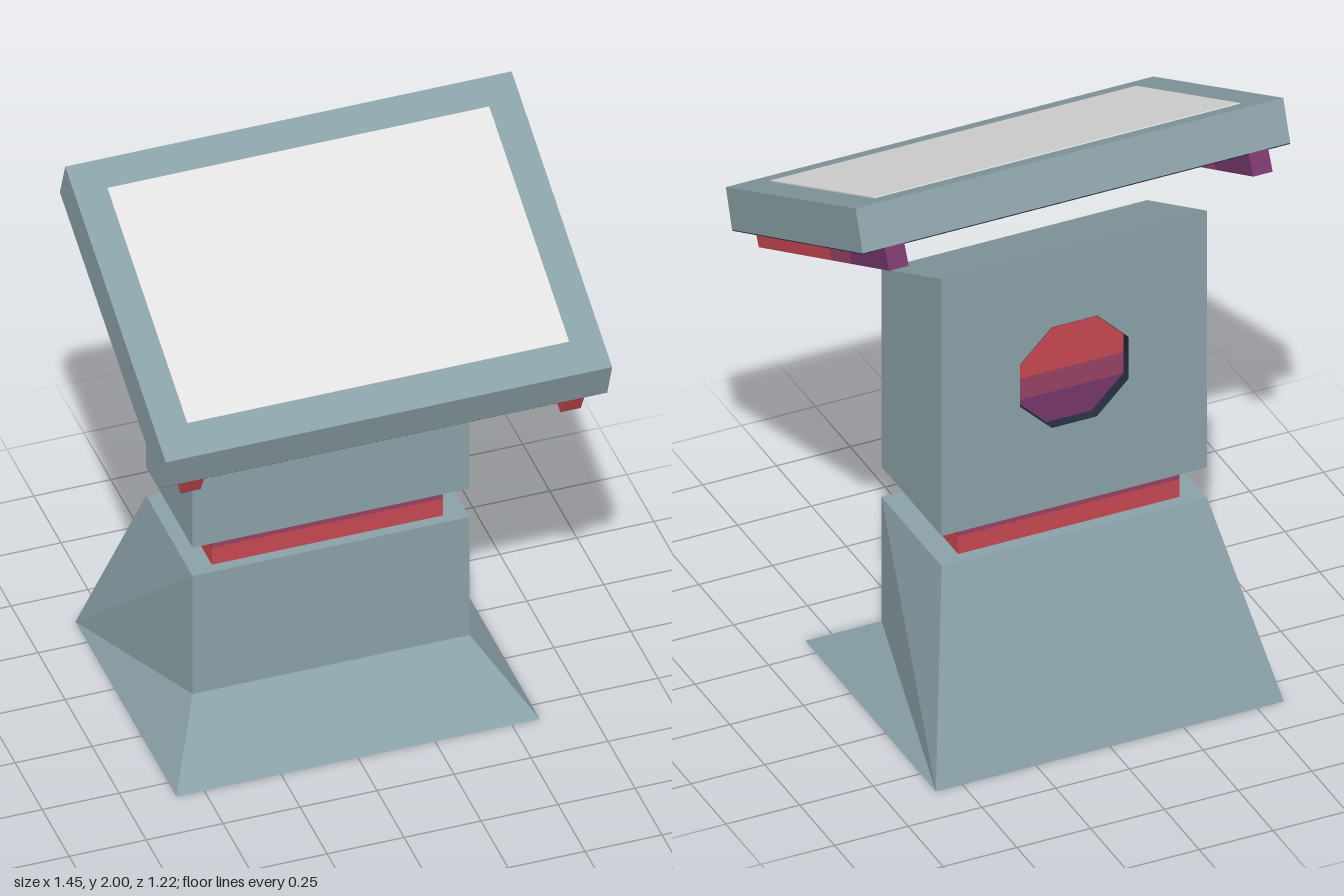
import * as THREE from 'three';

const mat = (name, color, side = THREE.FrontSide) => {
  const m = new THREE.MeshStandardMaterial({ color, side });
  m.name = name;
  return m;
};

export function createModel() {
  const model = new THREE.Group();
  model.name = 'consoleStand';
  const body = mat('blueGrey', 0x8aa0a7, THREE.DoubleSide);
  const screenGrey = mat('screenGrey', 0xe0e0e0);
  const red = mat('red', 0xc54850);
  const plum = mat('plum', 0x974262);
  const purple = mat('purple', 0x76366a);
  const navy = mat('navy', 0x252d40, THREE.DoubleSide);

  const add = (name, geo, material, parent = model) => {
    const mesh = new THREE.Mesh(geo, material);
    mesh.name = name;
    parent.add(mesh);
    return mesh;
  };
  const shape = (pts) => new THREE.Shape(pts.map(([a, b]) => new THREE.Vector2(a, b)));
  // Side profile of [z, y] points, extruded across x
  const prism = (pts, width, x = 0) =>
    new THREE.ExtrudeGeometry(shape(pts), { depth: width, bevelEnabled: false })
      .translate(0, 0, -width / 2).rotateY(-Math.PI / 2).translate(x, 0, 0);
  const lerp = (a, b, t) => [a[0] + (b[0] - a[0]) * t, a[1] + (b[1] - a[1]) * t];

  // Flared base, open underneath
  const corners = [
    [0.45, 0.635, 0.075], [0.45, 0.635, -0.355], [0.45, 0.18, 0.075],
    [0.59, 0, 0.325], [0.59, 0, -0.61],
  ].flatMap(([x, y, z]) => [x, y, z, -x, y, z]);
  const baseGeo = new THREE.BufferGeometry();
  baseGeo.setAttribute('position', new THREE.Float32BufferAttribute(corners, 3));
  baseGeo.setIndex([
    0, 2, 3, 0, 3, 1, // top
    1, 5, 4, 1, 4, 0, // front wall
    5, 7, 6, 5, 6, 4, // front slope
    2, 8, 9, 2, 9, 3, // back
    0, 8, 2, 0, 4, 8, 4, 6, 8, // left side
    1, 3, 9, 1, 9, 5, 5, 9, 7, // right side
  ]);
  const flatBase = baseGeo.toNonIndexed();
  flatBase.computeVertexNormals();
  add('base', flatBase, body);

  // Glowing neck in three bands
  const neck = new THREE.Group();
  neck.name = 'neck';
  model.add(neck);
  [[0.635, 0.7, red], [0.7, 0.717, plum], [0.717, 0.745, purple]].forEach(([y0, y1, m], i) =>
    add('neckBand' + (i + 1),
      new THREE.BoxGeometry(0.75, y1 - y0, 0.355).translate(0, (y0 + y1) / 2, -0.1375), m, neck));

  // Column: solid front with a slanted top, and a back slab with an octagonal opening
  const topAt = (z) => 1.47 + (0.075 - z) * 0.5;
  const zIn = -0.315, zBack = -0.355, holeY = 1.22;
  add('column', prism([[0.075, 0.745], [0.075, topAt(0.075)], [zIn, topAt(zIn)], [zIn, 0.745]], 0.9), body);

  const a = 0.185, c = 0.077; // octagon half width and half flat
  const octagon = [[a, c], [c, a], [-c, a], [-a, c], [-a, -c], [-c, -a], [c, -a], [a, -c]];
  const slabShape = shape([[-0.45, 0.745], [0.45, 0.745], [0.45, 1.685], [-0.45, 1.685]]);
  slabShape.holes.push(new THREE.Path(octagon.map(([x, y]) => new THREE.Vector2(x, y + holeY))));
  const slab = new THREE.ExtrudeGeometry(slabShape, { depth: zIn - zBack, bevelEnabled: false })
    .translate(0, 0, zBack);
  const p = slab.attributes.position;
  for (let i = 0; i < p.count; i++) if (p.getY(i) > 1.6) p.setY(i, topAt(p.getZ(i)));
  slab.computeVertexNormals();
  add('columnBack', slab, body);

  // Dark lining of the opening
  add('openingRim', new THREE.CylinderGeometry(0.199, 0.199, 0.039, 8, 1, true, Math.PI / 8)
    .rotateX(Math.PI / 2).translate(0, holeY, -0.3355), navy);

  // Banded lamp at the bottom of the opening
  const lamp = new THREE.Group();
  lamp.name = 'lamp';
  model.add(lamp);
  [
    [[[-a, 0], [a, 0], [a, c], [c, a], [-c, a], [-a, c]], red],
    [[[-a, -c], [a, -c], [a, 0], [-a, 0]], plum],
    [[[-c, -a], [c, -a], [a, -c], [-a, -c]], purple],
  ].forEach(([pts, m], i) => add('lampBand' + (i + 1),
    new THREE.ShapeGeometry(shape(pts)).rotateY(Math.PI).translate(0, holeY, zIn - 0.003), m, lamp));

  // Tilted panel with screen and dark underside
  const topF = [0.61, 1.53], topB = [-0.32, 2.0], botF = [0.565, 1.4], botB = [-0.37, 1.865];
  add('panel', prism([topF, topB, botB, botF], 1.45), body);

  const plate = (from, to, t0, t1, dz, dy) => {
    const s = lerp(from, to, t0), e = lerp(from, to, t1);
    return [s, e, [e[0] + dz, e[1] + dy], [s[0] + dz, s[1] + dy]];
  };
  add('screen', prism(plate(topF, topB, 0.108, 0.903, 0.0015, 0.003), 1.24), screenGrey);
  add('panelUnderside', prism(plate(botF, botB, 0.001, 0.999, -0.0015, -0.003), 1.448), navy);

  // Banded rails under the panel
  for (const side of [1, -1]) {
    const rail = new THREE.Group();
    rail.name = side > 0 ? 'leftRail' : 'rightRail';
    model.add(rail);
    [[0, 0.56, red], [0.56, 0.715, plum], [0.715, 1, purple]].forEach(([t0, t1, m], i) =>
      add('railBand' + (i + 1),
        prism(plate(botF, botB, t0, t1, -0.033, -0.065), 0.066, side * 0.617), m, rail));
  }
  return model;
}
